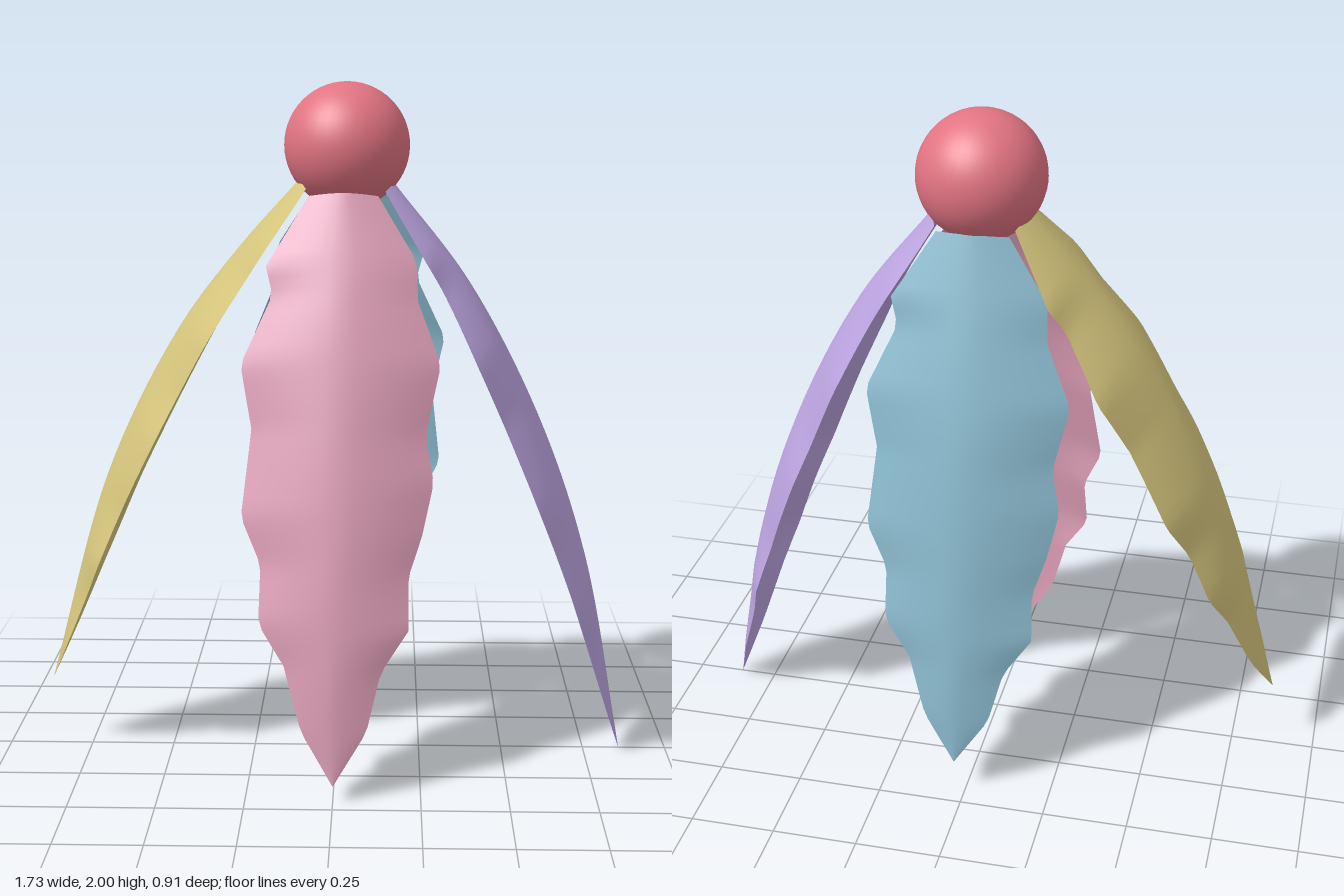
import * as THREE from 'three';

const paint = (name, color) => {
  const m = new THREE.MeshStandardMaterial({ color, side: THREE.DoubleSide });
  m.name = name;
  return m;
};

// Half-width along each serrated edge: [fraction of length, half-width]
const edgeA = [[0, 0.1], [0.12, 0.22], [0.17, 0.2], [0.29, 0.285], [0.4, 0.25], [0.55, 0.275],
  [0.63, 0.215], [0.73, 0.215], [0.8, 0.14], [0.91, 0.09], [1, 0]];
const edgeB = [[0, 0.1], [0.11, 0.21], [0.18, 0.215], [0.29, 0.285], [0.41, 0.245], [0.49, 0.27],
  [0.58, 0.24], [0.65, 0.205], [0.74, 0.21], [0.81, 0.135], [0.91, 0.095], [1, 0]];

function widthAt(edge, s) {
  const k = Math.max(1, edge.findIndex(p => p[0] >= s));
  const [s0, w0] = edge[k - 1], [s1, w1] = edge[k];
  return THREE.MathUtils.lerp(w0, w1, (s - s0) / (s1 - s0));
}

// Bowed leaf: sections swept along the midrib, edges cupped inward by a smooth depth
function leafGeometry(spine, side, scale, cup) {
  const curve = new THREE.CatmullRomCurve3(spine.map(p => new THREE.Vector3(...p)));
  const sideDir = new THREE.Vector3(...side);
  const rows = 50, cols = 12, positions = [], index = [];
  for (let i = 0; i <= rows; i++) {
    const s = i / rows;
    const centre = curve.getPointAt(s);
    const normal = curve.getTangentAt(s).cross(sideDir).normalize();
    const depth = cup * Math.sin(Math.PI * (0.1 + 0.9 * s));
    for (let j = 0; j <= cols; j++) {
      const u = (j / cols) * 2 - 1;
      const w = widthAt(u < 0 ? edgeA : edgeB, s) * scale;
      const p = centre.clone().addScaledVector(sideDir, u * w)
        .addScaledVector(normal, -depth * Math.abs(u) ** 1.6);
      positions.push(p.x, p.y, p.z);
      if (i < rows && j < cols) {
        const a = i * (cols + 1) + j, c = a + cols + 1;
        index.push(a, c, a + 1, a + 1, c, c + 1);
      }
    }
  }
  const g = new THREE.BufferGeometry();
  g.setAttribute('position', new THREE.Float32BufferAttribute(positions, 3));
  g.setIndex(index);
  g.computeVertexNormals();
  return g;
}

export function createModel() {
  const group = new THREE.Group();
  group.name = 'hangingLeaves';

  const add = (name, geometry, material) => {
    const mesh = new THREE.Mesh(geometry, material);
    mesh.name = name;
    group.add(mesh);
    return mesh;
  };

  // Round top knob
  add('knob', new THREE.SphereGeometry(0.183, 40, 28), paint('coral', 0xe27482))
    .position.set(0.028, 1.817, -0.07);

  // Four drooping leaves: midrib points, direction across each leaf, cup depth
  const leaves = [
    { name: 'frontLeaf', color: paint('pink', 0xe0a0b8), side: [1, 0, 0], scale: 1, cup: 0.085,
      spine: [[0.02, 1.69, 0.07], [0.02, 1.43, 0.19], [0.015, 1.2, 0.27], [0.01, 0.8, 0.37], [0, 0.4, 0.435], [0, 0.05, 0.455]] },
    { name: 'leftLeaf', color: paint('lilac', 0xbca4e0), side: [0, 0, -1], scale: 1, cup: 0.1,
      spine: [[0.165, 1.71, -0.06], [0.39, 1.42, -0.045], [0.6, 1.02, -0.03], [0.745, 0.6, -0.015], [0.86, 0, 0]] },
    { name: 'backLeaf', color: paint('blue', 0x8cbcd0), side: [-1, 0, 0], scale: 1.03, cup: 0.085,
      spine: [[0.03, 1.69, -0.2], [0.03, 1.35, -0.3], [0.03, 1.1, -0.36], [0.03, 0.7, -0.42], [0.03, 0.35, -0.45], [0.03, 0.11, -0.455]] },
    { name: 'rightLeaf', color: paint('yellow', 0xd4c47c), side: [0, 0, 1], scale: 1.07, cup: 0.1,
      spine: [[-0.11, 1.72, -0.06], [-0.29, 1.52, -0.05], [-0.47, 1.28, -0.04], [-0.68, 0.86, -0.02], [-0.865, 0.21, 0]] },
  ];
  for (const { name, color, side, scale, cup, spine } of leaves) {
    add(name, leafGeometry(spine, side, scale, cup), color);
  }
  return group;
}
